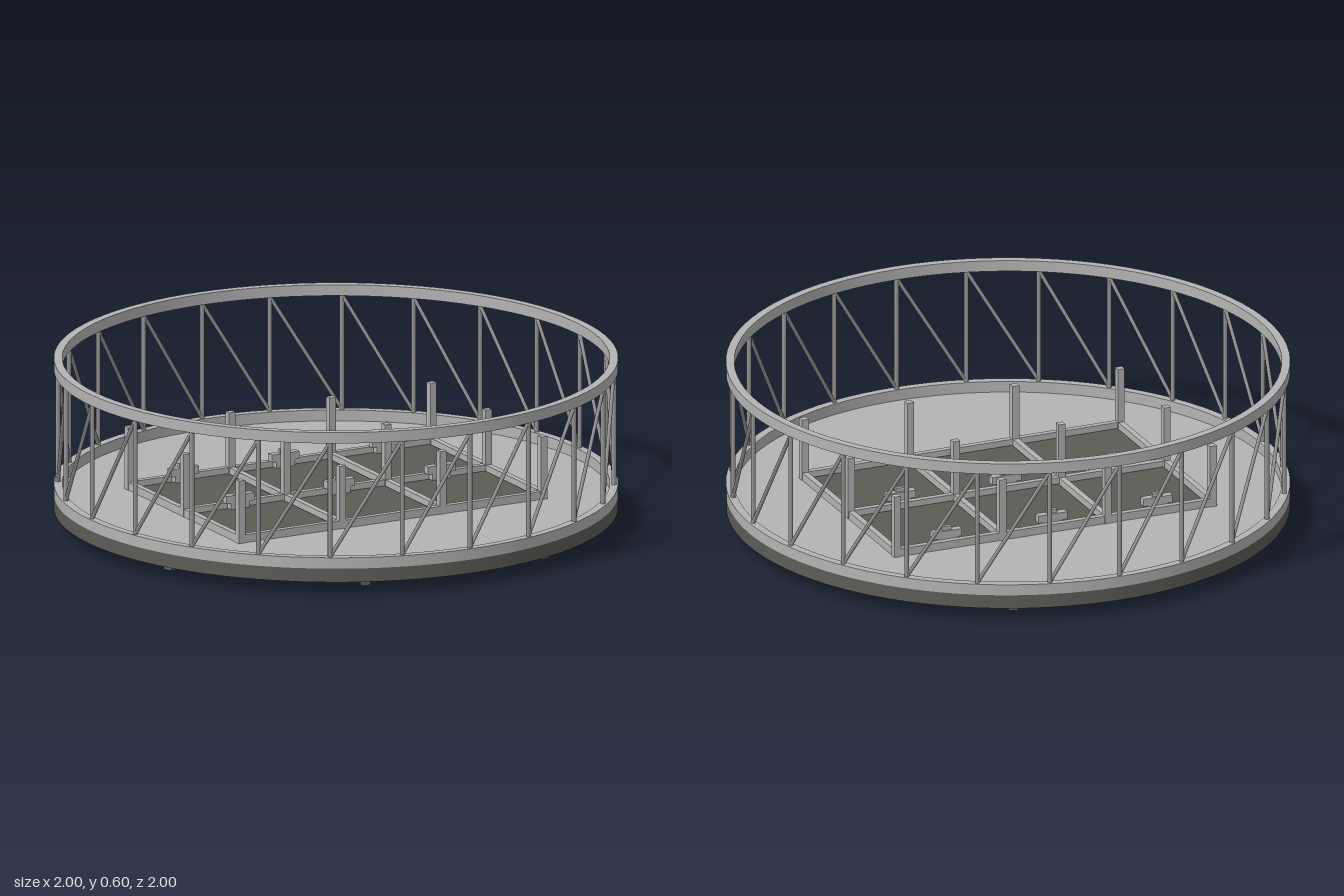
import * as THREE from 'three';
import { toCreasedNormals } from 'three/addons/utils/BufferGeometryUtils.js';

const paint = (name, color) => {
  const m = new THREE.MeshStandardMaterial({ color });
  m.name = name;
  return m;
};

export function createModel() {
  const light = paint('light grey', 0xb4b4b4);
  const mid = paint('mid grey', 0x969696);
  const dark = paint('dark grey', 0x5c5c57);
  const model = new THREE.Group();

  const add = (name, geometry, material, parent = model) => {
    const mesh = new THREE.Mesh(geometry, material);
    mesh.name = name;
    parent.add(mesh);
    return mesh;
  };
  const group = (name) => {
    const g = new THREE.Group();
    g.name = name;
    model.add(g);
    return g;
  };
  const box = (name, size, pos, material, parent) => {
    const mesh = add(name, new THREE.BoxGeometry(...size), material, parent);
    mesh.position.set(...pos);
    return mesh;
  };
  // Ring with a rectangular section
  const ring = (name, inner, outer, y0, y1, material) => {
    const profile = [[outer, y0], [outer, y1], [inner, y1], [inner, y0], [outer, y0]]
      .map(([r, y]) => new THREE.Vector2(r, y));
    return add(name, toCreasedNormals(new THREE.LatheGeometry(profile, 96), 0.6), material);
  };
  // Round bar between two points
  const strut = (name, a, b, radius, parent) => {
    const dir = b.clone().sub(a);
    const mesh = add(name, new THREE.CylinderGeometry(radius, radius, dir.length(), 8), mid, parent);
    mesh.position.copy(a).add(b).multiplyScalar(0.5);
    mesh.quaternion.setFromUnitVectors(new THREE.Vector3(0, 1, 0), dir.normalize());
  };

  // Round deck: dark body with a light floor
  const deck = add('deck', new THREE.CylinderGeometry(1, 1, 0.05, 96), [dark, light, dark]);
  deck.position.y = 0.075;
  ring('deckRim', 0.97, 1, 0.1, 0.14, light);
  ring('topRail', 0.97, 1, 0.56, 0.6, light);

  // Railing: upright and leaning diagonal in every bay
  const railing = group('railing');
  const bays = 24;
  const onRail = (i, y) => {
    const a = (i / bays) * Math.PI * 2;
    return new THREE.Vector3(0.985 * Math.sin(a), y, 0.985 * Math.cos(a));
  };
  for (let i = 0; i < bays; i++) {
    strut('railPost', onRail(i, 0.135), onRail(i, 0.565), 0.009, railing);
    strut('railDiagonal', onRail(i, 0.14), onRail(i + 1, 0.56), 0.007, railing);
  }

  // Underside: base ring and tapered radial ribs
  ring('baseRing', 0.535, 0.605, 0, 0.05, dark);
  const ribShape = new THREE.Shape([[0.59, 0.01], [0.955, 0.025], [0.955, 0.052], [0.59, 0.052]]
    .map(([x, y]) => new THREE.Vector2(x, y)));
  const ribGeometry = new THREE.ExtrudeGeometry(ribShape, { depth: 0.036, bevelEnabled: false });
  ribGeometry.translate(0, 0, -0.018);
  const ribs = group('undersideRibs');
  for (let i = 0; i < 8; i++) {
    add('rib', ribGeometry, dark, ribs).rotation.y = ((i + 0.5) * Math.PI) / 4;
  }

  // Grid frame with a post on each crossing
  const pitch = 0.407;
  const xs = [-1.5, -0.5, 0.5, 1.5].map((k) => k * pitch);
  const zs = [-pitch, 0, pitch];
  const frame = group('gridFrame');
  for (const z of zs) box('longBar', [3 * pitch, 0.03, 0.022], [0, 0.114, z], light, frame);
  for (const x of xs) {
    box('crossBar', [0.022, 0.029, 2 * pitch], [x, 0.114, 0], light, frame);
    for (const z of zs) box('gridPost', [0.026, 0.232, 0.026], [x, 0.214, z], light, frame);
  }

  // Floor panels, each with a small stepped block at its back edge
  const cells = group('cells');
  for (const x of [-pitch, 0, pitch]) {
    for (const z of [-pitch, 0]) {
      box('floorPanel', [0.374, 0.009, 0.374], [x, 0.104, z + pitch / 2], dark, cells);
      box('blockBase', [0.075, 0.03, 0.026], [x, 0.12, z + 0.024], light, cells);
      box('blockBody', [0.112, 0.028, 0.028], [x, 0.146, z + 0.024], light, cells);
      box('blockKnob', [0.038, 0.015, 0.014], [x, 0.167, z + 0.024], light, cells);
    }
  }
  return model;
}
